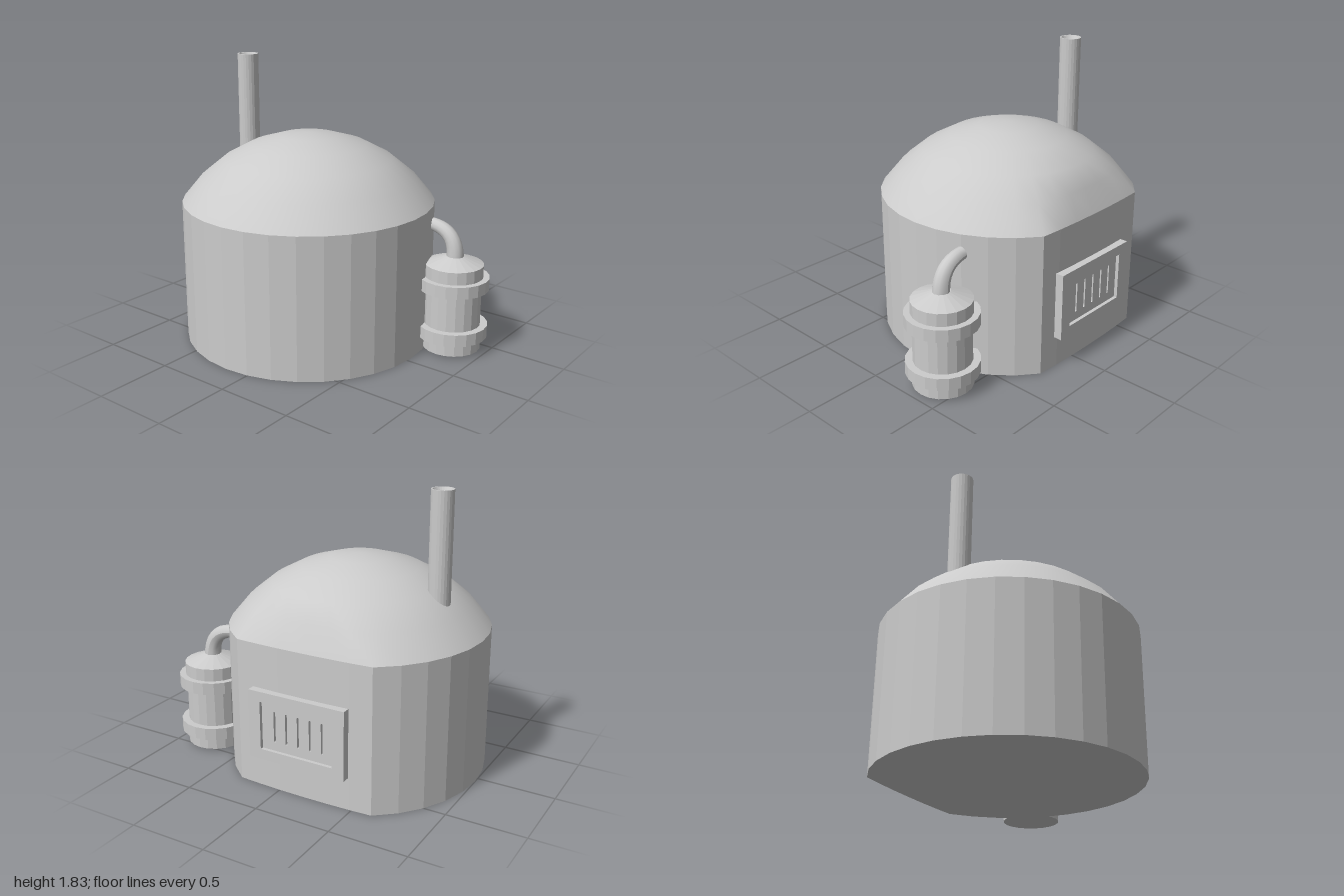
import * as THREE from 'three';
import { mergeVertices } from 'three/addons/utils/BufferGeometryUtils.js';

const flat = new THREE.MeshStandardMaterial({ color: 0xcccccc, flatShading: true, side: THREE.DoubleSide });
const smooth = new THREE.MeshStandardMaterial({ color: 0xcccccc, side: THREE.DoubleSide });

function addMesh(parent, name, geometry, material, x = 0, y = 0, z = 0) {
  const mesh = new THREE.Mesh(geometry, material);
  mesh.name = name;
  mesh.position.set(x, y, z);
  parent.add(mesh);
  return mesh;
}

function lathe(points, sides) {
  return new THREE.LatheGeometry(points.map(([r, y]) => new THREE.Vector2(r, y)), sides);
}

// Press the +x side of a round shape into a nearly flat face
function flattenSide(geometry, eaves) {
  const p = geometry.attributes.position;
  const half = THREE.MathUtils.degToRad(33.75);
  for (let i = 0; i < p.count; i++) {
    const x = p.getX(i), y = p.getY(i), z = p.getZ(i);
    const a = Math.abs(Math.atan2(z, x)) / half;
    if (x <= 0 || a > 1.001) continue;
    const wallX = 0.692 + 0.016 * (1 - a * a);
    const limit = y <= eaves + 0.01 ? wallX : wallX - 0.5 * (y - eaves);
    p.setX(i, Math.min(x, limit));
  }
  return geometry;
}

// Rectangle drawn on a wall facing +x: shape x runs towards -z
function rectangle(Type, w, h) {
  const s = new Type();
  s.moveTo(-w / 2, -h / 2);
  s.lineTo(w / 2, -h / 2);
  s.lineTo(w / 2, h / 2);
  s.lineTo(-w / 2, h / 2);
  s.closePath();
  return s;
}

function slot(x, halfHeight, r) {
  const s = new THREE.Path();
  s.moveTo(x + r, -halfHeight + r);
  s.lineTo(x + r, halfHeight - r);
  s.absarc(x, halfHeight - r, r, 0, Math.PI, false);
  s.lineTo(x - r, -halfHeight + r);
  s.absarc(x, -halfHeight + r, r, Math.PI, Math.PI * 2, false);
  return s;
}

function extrude(shape, depth) {
  return new THREE.ExtrudeGeometry(shape, { depth, bevelEnabled: false, curveSegments: 6 });
}

export function createModel() {
  const model = new THREE.Group();
  model.name = 'domedOven';
  const cx = 0.037, cz = -0.167, radius = 0.832, eaves = 0.93;

  // Faceted drum with a closed floor
  const wall = flattenSide(lathe([[0, 0], [radius, 0], [radius, eaves]], 32), eaves);
  addMesh(model, 'wall', wall, flat, cx, 0, cz);

  // Smooth spherical cap
  const rise = 0.44, R = (radius * radius + rise * rise) / (2 * rise);
  const sweep = Math.asin(radius / R);
  const cap = [];
  for (let i = 0; i <= 5; i++) {
    const t = sweep * (1 - i / 5);
    cap.push([R * Math.sin(t), eaves + rise - R + R * Math.cos(t)]);
  }
  let dome = flattenSide(lathe(cap, 32), eaves);
  dome.deleteAttribute('uv');
  dome.deleteAttribute('normal');
  dome = mergeVertices(dome, 1e-4);
  dome.computeVertexNormals();
  addMesh(model, 'dome', dome, smooth, cx, 0, cz);

  // Chimney with a tapered mouth
  addMesh(model, 'chimney',
    lathe([[0, 1.0], [0.07, 1.0], [0.07, 1.83], [0.06, 1.83], [0.033, 1.78], [0, 1.78]], 24),
    flat, 0.085, 0, -0.73);

  // Vent: raised frame, recessed plate with slots, backing
  const vent = new THREE.Group();
  vent.name = 'vent';
  vent.position.set(0.72, 0.43, -0.15);
  vent.rotation.y = Math.PI / 2;
  model.add(vent);
  const frame = rectangle(THREE.Shape, 0.66, 0.44);
  frame.holes.push(rectangle(THREE.Path, 0.5, 0.31));
  addMesh(vent, 'ventFrame', extrude(frame, 0.07), flat);
  const plate = rectangle(THREE.Shape, 0.5, 0.31);
  for (let i = -2; i <= 2; i++) plate.holes.push(slot(0.005 + i * 0.0825, 0.1, 0.007));
  addMesh(vent, 'ventPlate', extrude(plate, 0.02), flat, 0, 0, 0.027);
  addMesh(vent, 'ventBacking', new THREE.BoxGeometry(0.5, 0.31, 0.02), flat, 0, 0, 0.018);

  // Banded tank in front
  const tank = new THREE.Group();
  tank.name = 'tank';
  tank.position.set(0.36, 0, 0.77);
  model.add(tank);
  addMesh(tank, 'tankBody', lathe([
    [0, 0.012], [0.19, 0.012], [0.19, 0.14], [0.183, 0.14], [0.183, 0.46],
    [0.19, 0.46], [0.19, 0.582], [0.055, 0.632], [0, 0.632],
  ], 20), flat);
  for (const [name, y] of [['lowerBand', 0.137], ['upperBand', 0.46]]) {
    addMesh(tank, name, new THREE.CylinderGeometry(0.23, 0.23, 0.08, 20), flat, 0, y, 0);
  }

  // Bent pipe, narrowing towards the wall
  const path = new THREE.CubicBezierCurve3(
    new THREE.Vector3(0, 0.61, 0.005), new THREE.Vector3(0, 0.74, 0.005),
    new THREE.Vector3(0, 0.8, -0.05), new THREE.Vector3(0, 0.813, -0.172));
  const steps = 10, sides = 12;
  const pipe = new THREE.TubeGeometry(path, steps, 0.056, sides, false);
  const p = pipe.attributes.position, v = new THREE.Vector3();
  for (let i = 0; i < p.count; i++) {
    const t = Math.floor(i / (sides + 1)) / steps;
    const c = path.getPointAt(t);
    v.fromBufferAttribute(p, i).sub(c).multiplyScalar(1 - 0.26 * t).add(c);
    p.setXYZ(i, v.x, v.y, v.z);
  }
  pipe.computeVertexNormals();
  addMesh(tank, 'pipe', pipe, smooth);

  return model;
}
